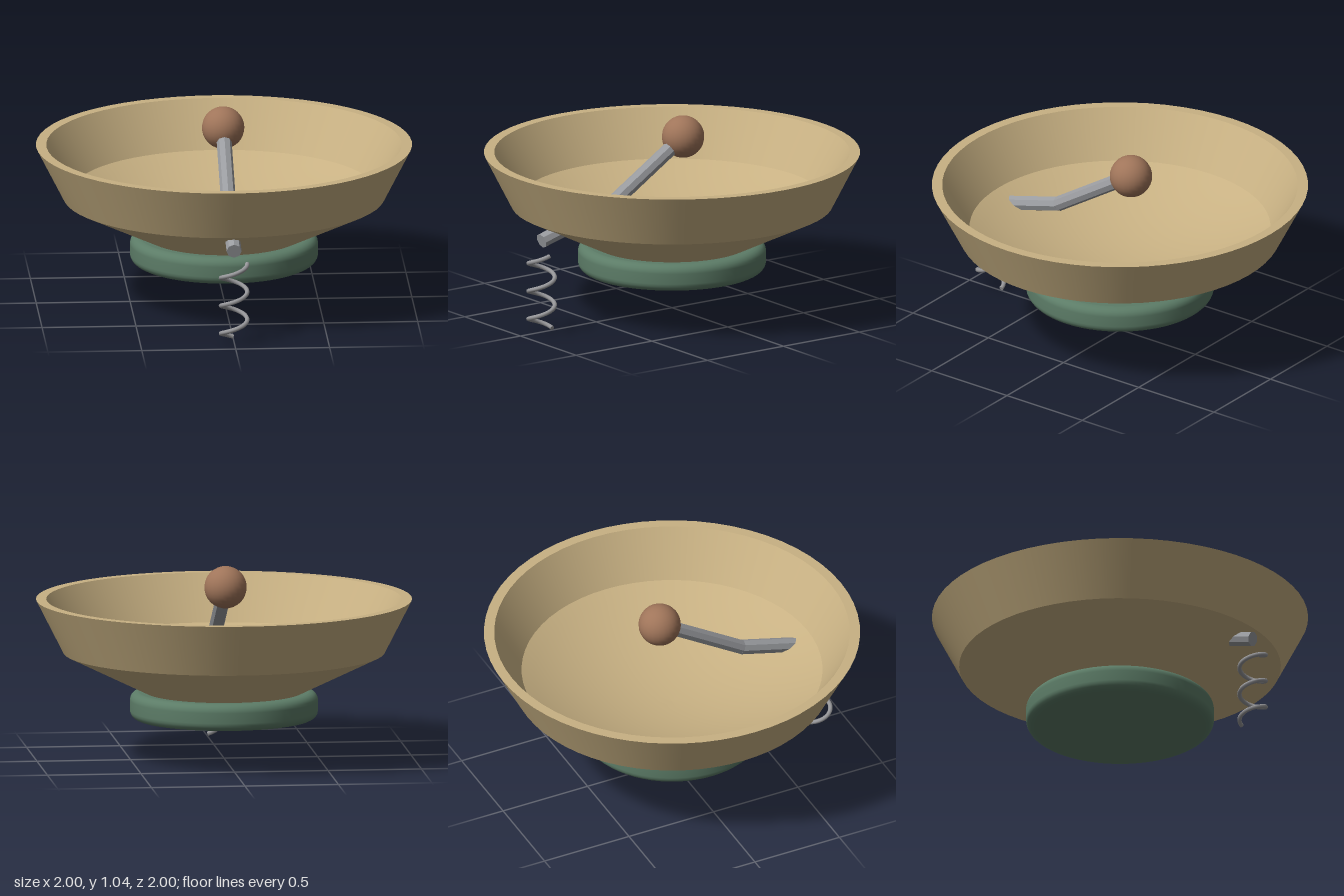
import * as THREE from 'three';

export function createModel() {
  const model = new THREE.Group();
  const mat = (name, color, extra = {}) => {
    const m = new THREE.MeshStandardMaterial({ color, ...extra });
    m.name = name;
    return m;
  };
  const tan = mat('tan', 0xc8b183);
  const green = mat('green', 0x5c7c67);
  const brown = mat('brown', 0xa0755a);
  const steel = mat('steel', 0x9a9ca0, { flatShading: true });
  const wire = mat('wire', 0x97979a);

  const add = (name, geometry, material, parent = model) => {
    const mesh = new THREE.Mesh(geometry, material);
    mesh.name = name;
    parent.add(mesh);
    return mesh;
  };
  const lathe = (points) =>
    new THREE.LatheGeometry(points.map(([r, y]) => new THREE.Vector2(r, y)), 64);

  // Bowl: one lathe per face so the edges between them stay sharp
  const bowl = new THREE.Group();
  bowl.name = 'bowl';
  model.add(bowl);
  const floor = [];
  for (let i = 0; i <= 12; i++) {
    const r = 0.8 * (1 - i / 12);
    floor.push([r, 0.4 + 0.21 * (r / 0.8) ** 2]);
  }
  add('bowlUnderside', lathe([[0, 0.355], [0.41, 0.355]]), tan, bowl);
  add('bowlLowerWall', lathe([[0.41, 0.355], [0.855, 0.572]]), tan, bowl);
  add('bowlUpperWall', lathe([[0.855, 0.572], [1, 0.857]]), tan, bowl);
  add('bowlRim', lathe([[1, 0.857], [0.945, 0.857]]), tan, bowl);
  add('bowlInnerWall', lathe([[0.945, 0.857], [0.8, 0.61]]), tan, bowl);
  add('bowlFloor', lathe(floor), tan, bowl);

  // Foot: a disc with a rounded side
  const foot = new THREE.Group();
  foot.name = 'foot';
  model.add(foot);
  const side = [];
  for (const [cy, from] of [[0.26, -Math.PI / 2], [0.315, 0]]) {
    for (let i = 0; i <= 5; i++) {
      const a = from + (i / 5) * Math.PI / 2;
      side.push([0.455 + 0.045 * Math.cos(a), cy + 0.045 * Math.sin(a)]);
    }
  }
  add('footUnderside', lathe([[0, 0.215], [0.455, 0.215]]), green, foot);
  add('footSide', lathe(side), green, foot);
  add('footTop', lathe([[0.455, 0.36], [0, 0.36]]), green, foot);

  // Lever: bent octagonal rod passing through the bowl wall
  const lever = new THREE.Group();
  lever.name = 'lever';
  model.add(lever);
  const rod = (name, a, b) => {
    const dir = b.clone().sub(a);
    const mesh = add(name, new THREE.CylinderGeometry(0.04, 0.04, dir.length() + 0.012, 8), steel, lever);
    mesh.position.copy(a).add(b).multiplyScalar(0.5);
    mesh.quaternion.setFromUnitVectors(new THREE.Vector3(0, 1, 0), dir.normalize());
  };
  const knobCentre = new THREE.Vector3(0, 0.93, -0.073);
  const bend = new THREE.Vector3(0, 0.625, 0.41);
  rod('leverHandle', bend, knobCentre);
  rod('leverTail', new THREE.Vector3(0, 0.503, 0.855), bend);

  // Knob on the lever
  add('knob', new THREE.SphereGeometry(0.113, 24, 16), brown).position.copy(knobCentre);

  // Coil spring hanging below the lever tail
  class Helix extends THREE.Curve {
    getPoint(t, target = new THREE.Vector3()) {
      const a = t * Math.PI * 5.5;
      return target.set(-0.07 * Math.sin(a), 0.012 + 0.42 * t, 0.86 - 0.07 * Math.cos(a));
    }
  }
  const helix = new Helix();
  const spring = new THREE.Group();
  spring.name = 'spring';
  model.add(spring);
  add('springCoil', new THREE.TubeGeometry(helix, 110, 0.012, 8), wire, spring);
  for (const [t, sign] of [[0, -1], [1, 1]]) {
    const cap = add('springEnd', new THREE.CircleGeometry(0.012, 8), wire, spring);
    cap.position.copy(helix.getPoint(t));
    cap.quaternion.setFromUnitVectors(new THREE.Vector3(0, 0, 1), helix.getTangent(t).multiplyScalar(sign));
  }

  return model;
}
